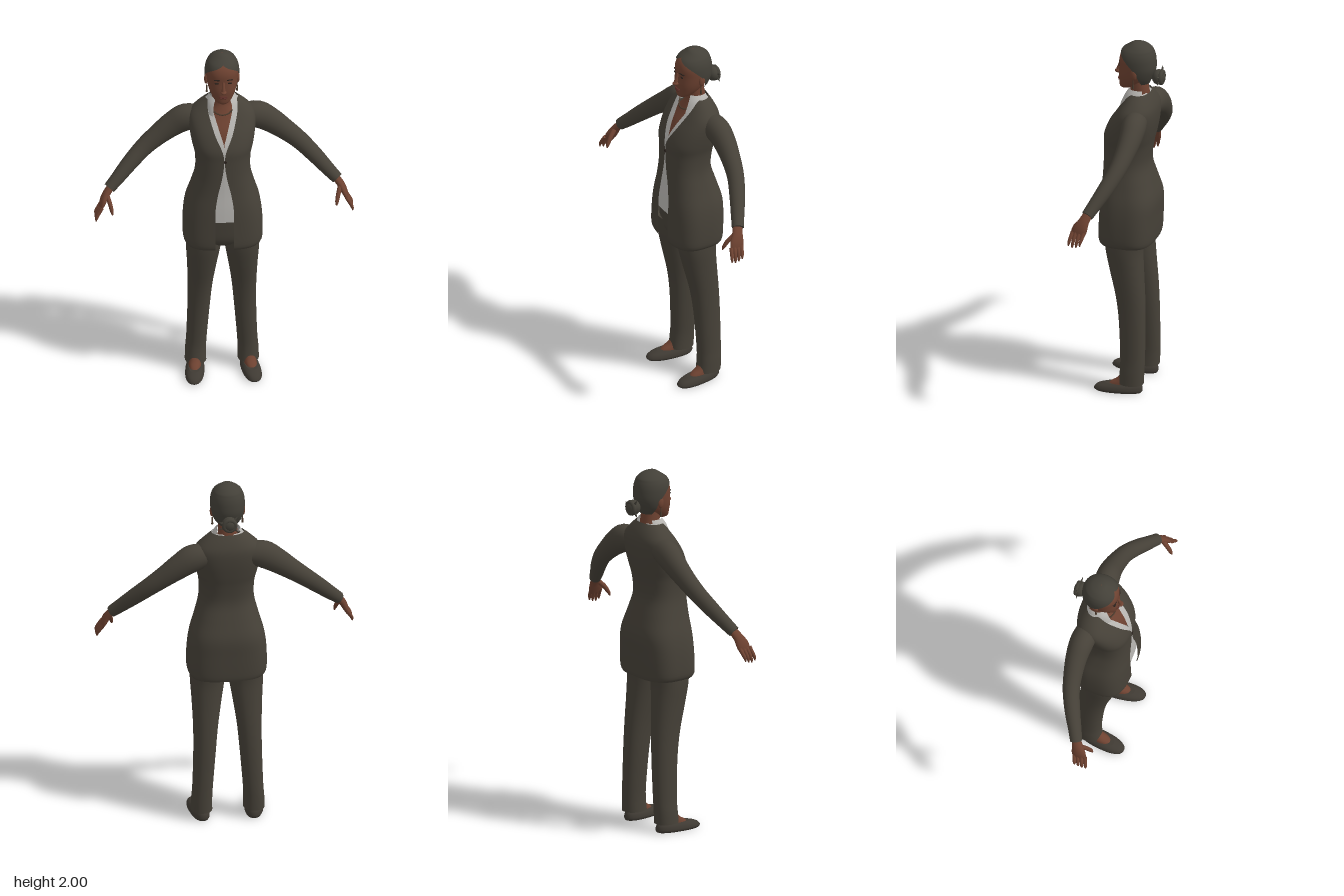
import * as THREE from 'three';

const mat = (name, color, side = THREE.FrontSide) => {
  const m = new THREE.MeshStandardMaterial({ color, side });
  m.name = name;
  return m;
};
const V = (x, y, z) => new THREE.Vector3(x, y, z);
const spow = (v, p) => Math.sign(v) * Math.abs(v) ** p;

// Catmull-Rom smoothing of rows of numbers
function smooth(rows, k = 4) {
  const out = [], at = i => rows[Math.max(0, Math.min(rows.length - 1, i))];
  for (let i = 0; i < rows.length - 1; i++) for (let s = 0; s < k; s++) {
    const t = s / k;
    out.push(rows[i].map((_, c) => {
      const [a, b, d, e] = [at(i - 1)[c], at(i)[c], at(i + 1)[c], at(i + 2)[c]];
      return b + 0.5 * t * (d - a + t * (2 * a - 5 * b + 4 * d - e + t * (3 * (b - d) + e - a)));
    }));
  }
  out.push(rows[rows.length - 1]);
  return out;
}

// Skin a list of rings; closed rings are capped and turned to face outward
function loft(rings, closed = true) {
  const n = rings[0].length, pts = rings.flat(), tri = [];
  for (let i = 0; i < rings.length - 1; i++) for (let j = 0; j < (closed ? n : n - 1); j++) {
    const a = i * n + j, b = i * n + (j + 1) % n;
    tri.push([a, b, a + n], [b, b + n, a + n]);
  }
  if (closed) [rings[0], rings[rings.length - 1]].forEach((ring, end) => {
    const base = pts.length;
    pts.push(...ring, ring.reduce((s, p) => s.add(p), V(0, 0, 0)).divideScalar(n));
    for (let j = 0; j < n; j++) {
      const a = base + j, b = base + (j + 1) % n;
      tri.push(end ? [base + n, a, b] : [base + n, b, a]);
    }
  });
  let vol = 0;
  for (const [a, b, c] of tri) vol += pts[a].dot(V(0, 0, 0).crossVectors(pts[b], pts[c]));
  if (closed && vol < 0) tri.forEach(t => t.reverse());
  const g = new THREE.BufferGeometry().setFromPoints(pts);
  g.setIndex(tri.flat());
  g.computeVertexNormals();
  return g;
}

// Level cross-section, angle measured from the front
function section(y, cx, hw, zf, zb, p, a0 = 0, a1 = Math.PI * 2, n = 40, closed = false) {
  return Array.from({ length: n }, (_, j) => {
    const a = a0 + (a1 - a0) * j / (closed ? n : n - 1);
    return V(cx + hw * spow(Math.sin(a), p), y, (zf + zb) / 2 + (zf - zb) / 2 * spow(Math.cos(a), p));
  });
}
// Rows: y, centre x, half width, front z, back z
const solid = (rows, p = 0.9, n = 28) =>
  loft(smooth(rows).map(r => section(...r, p, 0, Math.PI * 2, n, true)));
// Rows: y, half width, front z, back z, power, opening angle
const wrap = rows => loft(rows.map(([y, hw, zf, zb, p, a]) =>
  section(y, 0, hw, zf, zb, p, Math.max(0, a), Math.PI * 2 - Math.max(0, a), 48)), false);

// Tapered limb; rows: x, y, z, thickness radius, breadth radius
function limb(rows, s = 1, n = 16) {
  const rs = smooth(rows), c = rs.map(r => V(r[0] * s, r[1], r[2]));
  return loft(rs.map((r, i) => {
    const t = c[Math.min(i + 1, c.length - 1)].clone().sub(c[Math.max(i - 1, 0)]).normalize();
    const side = V(0, 0, 1).addScaledVector(t, -t.z).normalize();
    const up = V(0, 0, 0).crossVectors(t, side);
    return Array.from({ length: n }, (_, j) => {
      const a = j / n * Math.PI * 2;
      return c[i].clone().addScaledVector(side, r[4] * Math.cos(a)).addScaledVector(up, r[3] * Math.sin(a));
    });
  }));
}

export function createModel() {
  const model = new THREE.Group();
  const suit = mat('suit cloth', 0x464138, THREE.DoubleSide);
  const hair = mat('hair', 0x434038, THREE.DoubleSide);
  const shirt = mat('shirt cloth', 0xb8b6b2, THREE.DoubleSide);
  const skin = mat('skin', 0x6e4231), lip = mat('lips', 0x5c2f28), shoe = mat('shoe leather', 0x3f3a33);
  const dark = mat('eyes and brows', 0x2a211c), metal = mat('jewellery', 0x4a3a2c);
  const add = (name, geo, m) => {
    const mesh = new THREE.Mesh(geo, m);
    mesh.name = name;
    model.add(mesh);
    return mesh;
  };
  const ball = (name, m, x, y, z, rx, ry, rz) => {
    const b = add(name, new THREE.SphereGeometry(1, 20, 14), m);
    b.position.set(x, y, z);
    b.scale.set(rx, ry, rz);
    return b;
  };

  // Jacket, open in a V above and below the button; last column is half the opening
  const coat = smooth([
    [0.852, 0.200, 0.165, -0.125, 0.66, 0.050], [0.885, 0.214, 0.174, -0.132, 0.66, 0.050],
    [1.00, 0.213, 0.172, -0.138, 0.68, 0.050], [1.10, 0.200, 0.169, -0.140, 0.72, 0.050],
    [1.20, 0.172, 0.163, -0.115, 0.78, 0.036], [1.30, 0.149, 0.160, -0.090, 0.82, 0.014],
    [1.40, 0.150, 0.158, -0.100, 0.82, 0.002], [1.47, 0.165, 0.155, -0.115, 0.80, 0.010],
    [1.55, 0.178, 0.122, -0.128, 0.80, 0.045], [1.62, 0.178, 0.078, -0.130, 0.85, 0.068],
    [1.67, 0.140, 0.048, -0.115, 0.90, 0.080], [1.715, 0.088, 0.025, -0.090, 0.95, 0.080],
  ]);
  const opening = (gap, hw, p) => Math.asin(Math.min(0.95, Math.max(0, gap) / hw) ** (1 / p));
  add('jacket', wrap(coat.map(([y, hw, zf, zb, p, g]) => [y, hw, zf, zb, p, opening(g, hw, p)])), suit);
  const button = add('jacketButton', new THREE.CylinderGeometry(0.008, 0.008, 0.006, 14), dark);
  button.rotation.x = Math.PI / 2;
  button.position.set(0.004, 1.41, 0.159);

  // Shirt follows the jacket just inside it, with its own neckline
  add('shirt', wrap(coat.filter(r => r[0] > 1.02).map(([y, hw, zf, zb, p]) => {
    const w = hw - 0.012;
    return [y, w, zf - 0.01, zb + 0.012, p, opening(Math.min(0.05, (y - 1.5) * 0.32), w, p)];
  })), shirt);

  // Neck and chest
  add('neckAndChest', solid([[1.46, 0, 0.10, 0.125, -0.05], [1.55, 0, 0.12, 0.098, -0.08],
    [1.62, 0, 0.10, 0.055, -0.095], [1.67, 0, 0.062, 0.030, -0.092],
    [1.71, 0, 0.053, 0.020, -0.083], [1.79, 0, 0.05, 0.025, -0.07]]), skin);

  // Head, hair cap and face
  add('head', solid([[1.725, 0, 0.018, 0.070, 0.03], [1.738, 0, 0.040, 0.080, 0.0], [1.77, 0, 0.062, 0.082, -0.05],
    [1.81, 0, 0.077, 0.084, -0.08], [1.86, 0, 0.085, 0.080, -0.10], [1.91, 0, 0.085, 0.078, -0.10],
    [1.95, 0, 0.070, 0.058, -0.09], [1.985, 0, 0.038, 0.012, -0.06]], 0.9, 32), skin);
  add('hair', wrap(smooth([[1.765, 0.055, 0.05, -0.085, 0.95, 2.1], [1.80, 0.080, 0.07, -0.102, 0.95, 1.9],
    [1.85, 0.092, 0.084, -0.12, 0.95, 1.65], [1.90, 0.093, 0.086, -0.12, 0.95, 1.2],
    [1.93, 0.088, 0.080, -0.115, 0.95, 0.75], [1.95, 0.080, 0.070, -0.108, 0.95, 0.3],
    [1.965, 0.070, 0.055, -0.10, 0.95, 0], [1.985, 0.048, 0.025, -0.075, 1, 0],
    [1.997, 0.022, 0.006, -0.042, 1, 0], [2.0, 0.002, -0.015, -0.019, 1, 0]])), hair);
  ball('noseTip', skin, 0, 1.814, 0.092, 0.016, 0.011, 0.018);
  add('noseBridge', limb([[0, 1.872, 0.078, 0.007, 0.006], [0, 1.84, 0.087, 0.009, 0.009],
    [0, 1.812, 0.094, 0.012, 0.012]]), skin);
  ball('upperLip', lip, 0, 1.779, 0.081, 0.024, 0.005, 0.009);
  ball('lowerLip', lip, 0, 1.770, 0.080, 0.021, 0.006, 0.009);

  // Bun with loose ends
  ball('bun', hair, 0.005, 1.808, -0.138, 0.042, 0.042, 0.036);
  const coil = add('bunCoil', new THREE.TorusGeometry(0.03, 0.013, 10, 24), hair);
  coil.position.set(0.005, 1.808, -0.155);
  for (const [x, y, tilt] of [[0.048, 1.822, -1.2], [0.045, 1.79, -2.0], [-0.03, 1.845, 0.7], [-0.03, 1.775, 2.4]]) {
    const end = add('looseHairEnd', new THREE.ConeGeometry(0.01, 0.04, 8), hair);
    end.position.set(x, y, -0.148);
    end.rotation.z = tilt;
  }

  // Necklace
  const chain = [0, 1, 2, 3, 4, 5, 6, 7, 8].map(i => {
    const a = (i / 8 - 0.5) * 2.6;
    return V(0.075 * Math.sin(a), 1.705 - 0.055 * Math.cos(a), -0.025 + 0.085 * Math.cos(a));
  });
  add('necklace', new THREE.TubeGeometry(new THREE.CatmullRomCurve3(chain), 32, 0.004, 6), metal);

  // Hips
  add('trouserHips', solid([[0.835, 0, 0.08, 0.09, -0.06], [0.88, 0, 0.18, 0.128, -0.10],
    [0.97, 0, 0.19, 0.138, -0.12], [1.07, 0, 0.17, 0.142, -0.11]], 0.8), suit);

  for (const s of [1, -1]) {
    const side = s > 0 ? 'left' : 'right';
    const part = (name, geo, m) => add(side + name, geo, m);

    // Face side details
    ball(side + 'Eye', dark, s * 0.034, 1.862, 0.0745, 0.013, 0.005, 0.004);
    const brow = part('Brow', new THREE.BoxGeometry(0.032, 0.005, 0.006), dark);
    brow.position.set(s * 0.035, 1.882, 0.074);
    brow.rotation.set(0, s * 0.3, -s * 0.12);
    ball(side + 'Ear', skin, s * 0.086, 1.835, -0.022, 0.010, 0.030, 0.018);
    const drop = part('Earring', new THREE.CylinderGeometry(0.002, 0.006, 0.05, 8), metal);
    drop.position.set(s * 0.082, 1.78, -0.018);

    // Shirt collar half
    part('Collar', loft(smooth([[1.645, 0.09, 0.078, -0.09], [1.70, 0.086, 0.052, -0.098], [1.735, 0.066, 0.028, -0.09]])
      .map(([y, hw, zf, zb], i) => section(y, 0, hw * s, zf, zb, 0.95, 0.62 - i * 0.01, 2.1, 18)), false), shirt);

    // Sleeve
    part('Sleeve', limb([[0.11, 1.585, -0.045, 0.060, 0.062], [0.19, 1.575, -0.055, 0.076, 0.066],
      [0.26, 1.535, -0.058, 0.069, 0.060], [0.34, 1.475, -0.050, 0.058, 0.052], [0.42, 1.410, -0.032, 0.050, 0.046],
      [0.50, 1.335, 0.005, 0.044, 0.042], [0.57, 1.265, 0.045, 0.037, 0.036], [0.615, 1.222, 0.070, 0.032, 0.033]], s, 22), suit);

    // Hand, fingers and thumb
    part('Palm', limb([[0.595, 1.242, 0.060, 0.020, 0.024], [0.632, 1.195, 0.083, 0.020, 0.030],
      [0.652, 1.155, 0.098, 0.017, 0.040], [0.664, 1.122, 0.107, 0.010, 0.037]], s), skin);
    for (let i = 0; i < 4; i++) {
      const z = 0.076 + i * 0.021, drop = [0.012, 0.003, 0, 0.008][i];
      part('Finger', limb([[0.660, 1.138, z, 0.010, 0.011], [0.680, 1.105, z + 0.007, 0.010, 0.010],
        [0.690, 1.075 + drop, z + 0.012, 0.008, 0.008], [0.692, 1.058 + drop, z + 0.013, 0.003, 0.003]], s, 10), skin);
    }
    part('Thumb', limb([[0.630, 1.195, 0.095, 0.013, 0.014], [0.616, 1.160, 0.130, 0.012, 0.013],
      [0.607, 1.125, 0.152, 0.010, 0.010], [0.604, 1.105, 0.160, 0.004, 0.004]], s, 10), skin);

    // Trouser leg
    part('TrouserLeg', solid([[0.05, 0.142, 0.058, 0.042, -0.095], [0.12, 0.141, 0.056, 0.035, -0.098],
      [0.20, 0.136, 0.055, 0.034, -0.100], [0.40, 0.125, 0.060, 0.045, -0.100], [0.55, 0.118, 0.067, 0.065, -0.095],
      [0.70, 0.110, 0.081, 0.100, -0.085], [0.82, 0.104, 0.094, 0.125, -0.080], [0.93, 0.100, 0.097, 0.135, -0.095]]
      .map(([y, cx, ...r]) => [y, cx * s, ...r])), suit);

    // Foot and slip-on shoe, turned slightly out
    const turned = (name, geo, m) => {
      const f = part(name, geo, m);
      f.position.x = s * 0.146;
      f.rotation.y = s * 0.12;
    };
    turned('Foot', solid([[0.03, 0, 0.036, 0.105, -0.06], [0.052, 0, 0.034, 0.085, -0.06],
      [0.075, 0, 0.032, 0.050, -0.06], [0.11, 0, 0.030, 0.020, -0.06]]), skin);
    turned('Shoe', solid([[0, 0, 0.046, 0.166, -0.084], [0.012, 0, 0.052, 0.176, -0.090],
      [0.032, 0, 0.047, 0.158, -0.088], [0.046, 0, 0.036, 0.115, -0.082]], 0.85), shoe);
  }
  return model;
}
